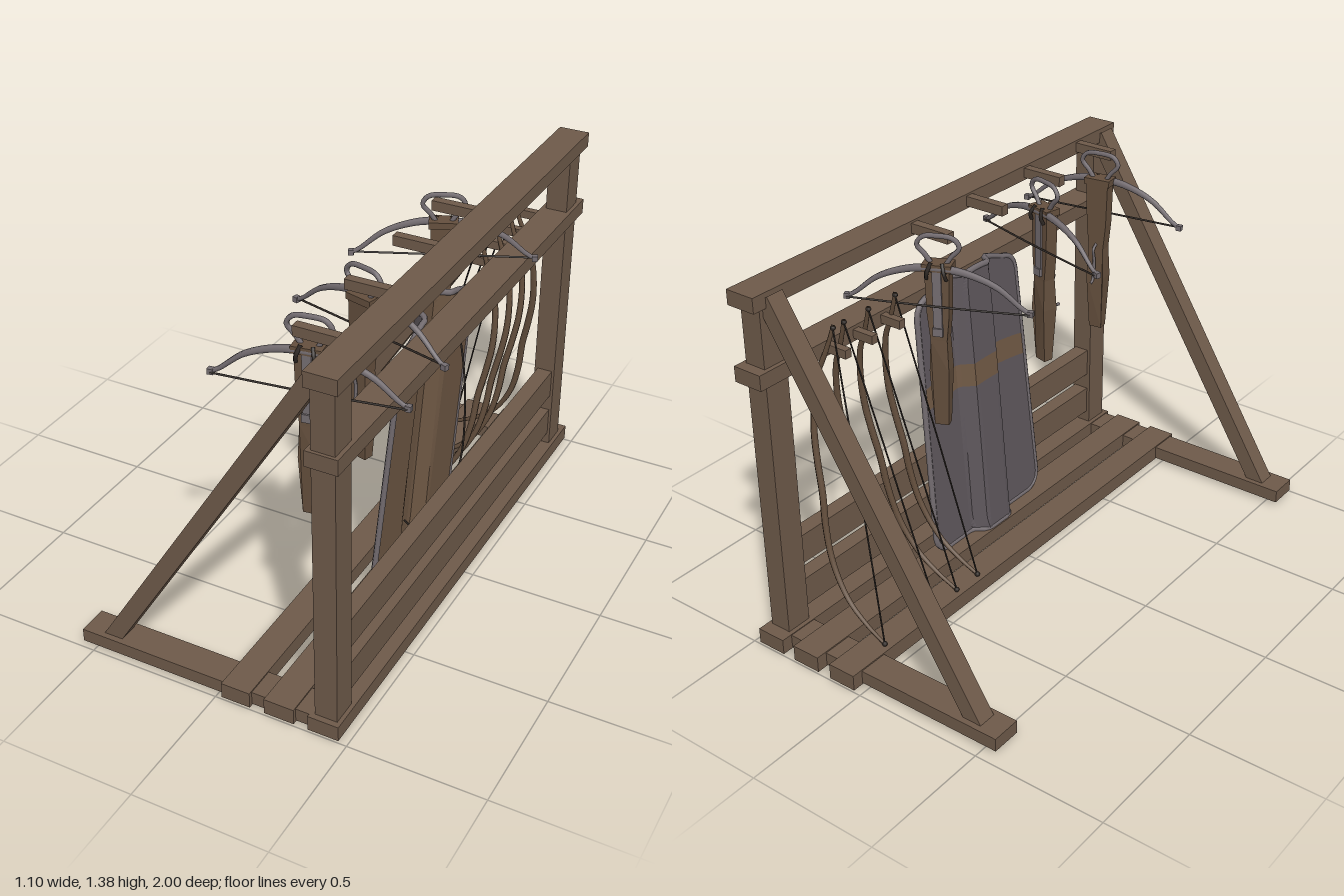
import * as THREE from 'three';

const mat = (name, color) => Object.assign(new THREE.MeshStandardMaterial({ color }), { name });

export function createModel() {
  const root = new THREE.Group();
  root.name = 'weaponRack';
  const wood = mat('rackWood', 0x6d5949);
  const stockWood = mat('stockWood', 0x644f3d);
  const shieldWood = mat('shieldWood', 0x6f5844);
  const steel = mat('steel', 0x736c70);
  const shieldPaint = mat('shieldPaint', 0x5d565b);
  const cord = mat('cord', 0x2e2824);

  const add = (parent, name, geo, material) => {
    const mesh = new THREE.Mesh(geo, material);
    mesh.name = name;
    parent.add(mesh);
    return mesh;
  };
  const box = (parent, name, x0, x1, y0, y1, z0, z1, material = wood) => {
    const m = add(parent, name, new THREE.BoxGeometry(x1 - x0, y1 - y0, z1 - z0), material);
    m.position.set((x0 + x1) / 2, (y0 + y1) / 2, (z0 + z1) / 2);
    return m;
  };
  // Tube through points; taper(t) scales its radius along the length
  const tube = (parent, name, pts, r, material, { seg = 24, sides = 6, closed = false, taper = null } = {}) => {
    const path = new THREE.CatmullRomCurve3(pts.map(p => new THREE.Vector3(...p)), closed);
    const geo = new THREE.TubeGeometry(path, seg, r, sides, closed);
    if (taper) {
      const pos = geo.attributes.position, v = new THREE.Vector3();
      for (let i = 0; i < pos.count; i++) {
        const t = Math.floor(i / (sides + 1)) / seg;
        const c = path.getPointAt(t);
        v.fromBufferAttribute(pos, i).sub(c).multiplyScalar(taper(t)).add(c);
        pos.setXYZ(i, v.x, v.y, v.z);
      }
    }
    return add(parent, name, geo, material);
  };

  // Long beams, floor boards and back slats
  const frame = new THREE.Group();
  frame.name = 'frame';
  root.add(frame);
  box(frame, 'topBeam', 0.355, 0.47, 1.335, 1.39, -0.99, 0.99);
  box(frame, 'middleBeam', 0.355, 0.47, 1.06, 1.117, -0.99, 0.99);
  box(frame, 'bottomBeam', 0.355, 0.47, 0.015, 0.073, -1, 1);
  box(frame, 'outerFloorBoard', 0.025, 0.135, 0.015, 0.075, -1, 1);
  box(frame, 'innerFloorBoard', 0.19, 0.303, 0.015, 0.075, -1, 1);
  box(frame, 'upperSlat', 0.385, 0.445, 0.3, 0.413, -0.885, 0.905);
  box(frame, 'lowerSlat', 0.385, 0.445, 0.12, 0.232, -0.885, 0.905);

  // Post, foot and diagonal brace at each end
  for (const [z0, z1] of [[-0.957, -0.843], [0.872, 0.985]]) {
    const c = (z0 + z1) / 2;
    box(frame, 'post', 0.372, 0.455, 0.02, 1.36, c - 0.05, c + 0.05);
    box(frame, 'foot', -0.55, 0.4, 0.02, 0.07, z0, z1);
    const a = new THREE.Vector2(-0.465, 0.022), b = new THREE.Vector2(0.375, 1.36);
    const brace = box(frame, 'brace', -0.031, 0.031, 0, a.distanceTo(b), c - 0.035, c + 0.035);
    brace.position.set((a.x + b.x) / 2, (a.y + b.y) / 2, c);
    brace.rotation.z = -Math.atan2(b.x - a.x, b.y - a.y);
  }

  // Pegs on the beams
  for (const z of [0.75, 0.42, 0.08, -0.22]) box(frame, 'crossbowPeg', 0.195, 0.36, 1.345, 1.382, z - 0.017, z + 0.017);
  for (const z of [-0.4, -0.54, -0.67, -0.83]) box(frame, 'bowPeg', 0.27, 0.36, 1.073, 1.105, z - 0.014, z + 0.014);

  // Crossbows, hanging with the stock down
  const stockShape = new THREE.Shape([
    [-0.045, 1.285], [0.045, 1.285], [0.04, 1.1], [0.03, 1.0], [0.035, 0.88], [0.026, 0.66],
    [-0.026, 0.66], [-0.035, 0.88], [-0.03, 1.0], [-0.04, 1.1],
  ].map(p => new THREE.Vector2(...p)));
  for (const [z, yaw] of [[0.695, 0.145], [0.34, Math.PI - 0.26], [-0.265, Math.PI + 0.41]]) {
    const g = new THREE.Group();
    g.name = 'crossbow';
    g.position.set(0.215, 0, z);
    g.rotation.y = yaw;
    root.add(g);
    const stockGeo = new THREE.ExtrudeGeometry(stockShape, { depth: 0.05, bevelEnabled: false });
    // Pinch the butt and thicken the grip
    const pos = stockGeo.attributes.position;
    for (let i = 0; i < pos.count; i++) {
      const y = pos.getY(i);
      pos.setZ(i, (pos.getZ(i) - 0.025) * (y < 0.7 ? 0.75 : y < 0.9 ? 1.25 : 1));
    }
    stockGeo.computeVertexNormals();
    add(g, 'stock', stockGeo, stockWood);
    box(g, 'stockHead', -0.052, 0.052, 1.262, 1.287, -0.03, 0.034, stockWood);
    box(g, 'boltTrack', -0.016, 0.016, 1.05, 1.28, 0.024, 0.032, steel);
    box(g, 'nut', -0.018, 0.018, 1.02, 1.05, 0.02, 0.038, steel);
    tube(g, 'bowLimbs', [
      [-0.33, 1.135, 0.022], [-0.3, 1.15, 0.022], [-0.21, 1.222, 0.022], [-0.1, 1.263, 0.022], [0, 1.272, 0.022],
      [0.1, 1.263, 0.022], [0.21, 1.222, 0.022], [0.3, 1.15, 0.022], [0.33, 1.135, 0.022],
    ], 0.015, steel, { seg: 32, taper: t => 1 - 0.5 * Math.abs(2 * t - 1) });
    for (const s of [-1, 1]) box(g, 'limbNock', s * 0.326 - 0.01, s * 0.326 + 0.01, 1.127, 1.147, 0.012, 0.032, steel);
    tube(g, 'crossbowString', [[-0.326, 1.135, 0.03], [0, 1.133, 0.034], [0.326, 1.135, 0.03]], 0.004, cord, { seg: 4 });
    tube(g, 'stirrup', [
      [-0.022, 1.272, 0], [-0.045, 1.308, 0], [-0.075, 1.345, 0], [-0.055, 1.375, 0], [0, 1.382, 0],
      [0.055, 1.375, 0], [0.075, 1.345, 0], [0.045, 1.308, 0], [0.022, 1.272, 0],
    ], 0.009, steel, { seg: 32 });
    for (const s of [-1, 1]) {
      tube(g, 'binding', [[s * 0.035, 1.235, 0.033], [s * 0.03, 1.262, 0.042], [s * 0.02, 1.292, 0.025]], 0.007, cord, { seg: 6 });
    }
    tube(g, 'triggerLever', [
      [0, 1.02, -0.02], [0, 1.005, -0.045], [0, 0.96, -0.037], [0, 0.9, -0.04], [0, 0.872, -0.05], [0, 0.87, -0.072],
    ], 0.006, steel, { seg: 20 });
  }

  // Leaning shield with a hollow central ridge and rounded corners
  const shield = new THREE.Group();
  shield.name = 'shield';
  root.add(shield);
  const shieldPoint = (u, v, off) => {
    const r = 0.07, d = Math.min(v, 1 - v) * 1.03;
    const cut = d < r ? r - Math.sqrt(r * r - (r - d) ** 2) : 0;
    const z = u * (0.313 - 0.033 * v - cut);
    const ridge = 1 - THREE.MathUtils.clamp((Math.abs(z) - 0.065) / 0.04, 0, 1);
    const y = 0.078 + v * 1.01 + 0.05 * v * (1 - u * u);
    return [0.232 + 0.088 * v + 0.022 - 0.05 * ridge + off, y, 0.034 + z];
  };
  const shieldPanel = (name, v0, v1, facing, off, material) => {
    let geo = new THREE.PlaneGeometry(2, 1, 36, 28);
    const pos = geo.attributes.position;
    for (let i = 0; i < pos.count; i++) {
      const v = v0 + (v1 - v0) * (1 - Math.cos(Math.PI * (pos.getY(i) + 0.5))) / 2;
      pos.setXYZ(i, ...shieldPoint(-facing * pos.getX(i), v, off));
    }
    geo = geo.toNonIndexed();
    geo.computeVertexNormals();
    add(shield, name, geo, material);
  };
  shieldPanel('shieldFaceLower', 0, 0.58, -1, -0.006, shieldPaint);
  shieldPanel('shieldFaceBand', 0.58, 0.665, -1, -0.006, shieldWood);
  shieldPanel('shieldFaceUpper', 0.665, 1, -1, -0.006, shieldPaint);
  shieldPanel('shieldBack', 0, 1, 1, 0.006, shieldWood);
  const rim = [];
  const ease = k => (1 - Math.cos(Math.PI * k)) / 2;
  for (let i = 0; i < 24; i++) rim.push(shieldPoint(1, ease(i / 24), 0));
  for (let i = 0; i < 20; i++) rim.push(shieldPoint(1 - i / 10, 1, 0));
  for (let i = 0; i < 24; i++) rim.push(shieldPoint(-1, 1 - ease(i / 24), 0));
  for (let i = 0; i < 20; i++) rim.push(shieldPoint(i / 10 - 1, 0, 0));
  tube(shield, 'shieldRim', rim, 0.011, steel, { seg: 160, closed: true });
  // Loose carrying strap behind the shield
  tube(shield, 'shieldStrap', [
    [0.338, 0.97, -0.14], [0.352, 0.8, -0.17], [0.358, 0.6, -0.19], [0.352, 0.36, -0.18], [0.335, 0.23, -0.1],
    [0.305, 0.195, 0.0], [0.28, 0.21, 0.08], [0.268, 0.26, 0.12],
  ], 0.004, cord, { seg: 40 });

  // Four recurve bows leaning against the middle beam
  const bowProfile = [
    [0.045, 0.08], [0.13, 0.122], [0.22, 0.19], [0.295, 0.31], [0.33, 0.44], [0.345, 0.56], [0.368, 0.67],
    [0.385, 0.78], [0.385, 0.9], [0.368, 1.01], [0.343, 1.07], [0.318, 1.14], [0.3, 1.2],
  ];
  for (const [zb, zt] of [[-0.295, -0.395], [-0.415, -0.53], [-0.535, -0.65], [-0.81, -0.7]]) {
    const g = new THREE.Group();
    g.name = 'bow';
    root.add(g);
    const at = ([x, y]) => [x, y, zb + (zt - zb) * (y - 0.08) / 1.12];
    tube(g, 'bowStave', bowProfile.map(at), 0.013, stockWood, { seg: 48, taper: t => 1 - 0.5 * Math.abs(2 * t - 1) ** 2 });
    tube(g, 'bowString', [at([0.05, 0.083]), at([0.175, 0.64]), at([0.302, 1.185])], 0.0032, cord, { seg: 4, sides: 5 });
    for (const p of [[0.05, 0.083], [0.302, 1.188]]) {
      const nock = add(g, 'bowNock', new THREE.SphereGeometry(0.01, 8, 6), cord);
      nock.position.set(...at(p));
    }
  }
  return root;
}
